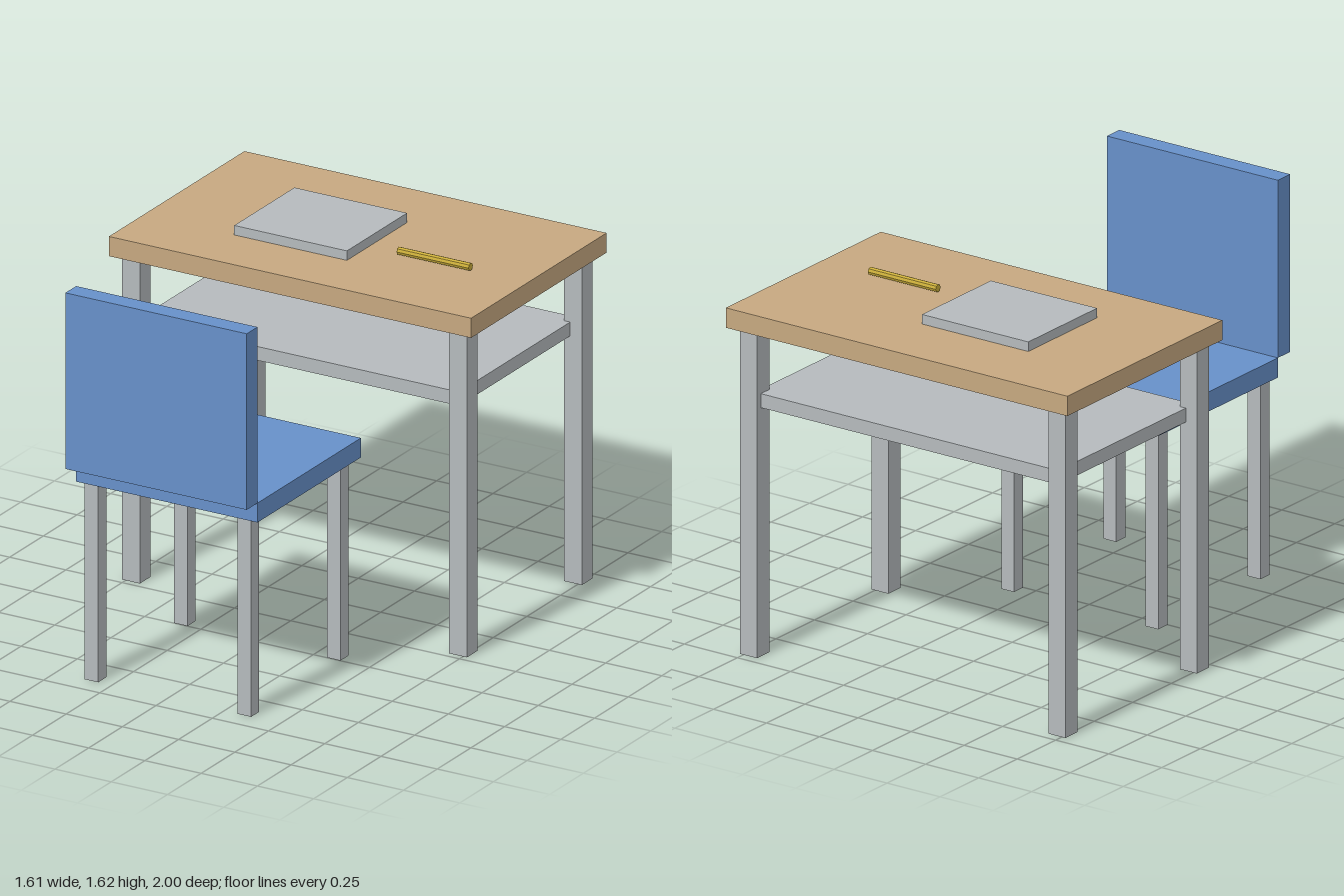
import * as THREE from 'three';

const wood = new THREE.MeshStandardMaterial({ name: 'wood', color: 0xc6a880 });
const grey = new THREE.MeshStandardMaterial({ name: 'grey', color: 0xb5babd });
const blue = new THREE.MeshStandardMaterial({ name: 'blue', color: 0x6790c9 });
const yellow = new THREE.MeshStandardMaterial({ name: 'pencilYellow', color: 0xc9ac3a });
yellow.flatShading = true;

// Box given by its minimum and maximum corners
function box(name, material, [x0, y0, z0], [x1, y1, z1]) {
  const mesh = new THREE.Mesh(new THREE.BoxGeometry(x1 - x0, y1 - y0, z1 - z0), material);
  mesh.position.set((x0 + x1) / 2, (y0 + y1) / 2, (z0 + z1) / 2);
  mesh.name = name;
  return mesh;
}

// Four square legs, mirrored in x, at two depths
function addLegs(group, name, x, depths, size, height) {
  const h = size / 2;
  for (const side of [-1, 1]) {
    for (const z of depths) {
      group.add(box(name, grey, [side * x - h, 0, z - h], [side * x + h, height, z + h]));
    }
  }
}

function createDesk() {
  const desk = new THREE.Group();
  desk.name = 'desk';
  desk.add(box('deskTop', wood, [-0.805, 1.335, -1], [0.805, 1.416, 0.006]));
  desk.add(box('deskShelf', grey, [-0.715, 1.015, -0.935], [0.715, 1.072, -0.055]));
  addLegs(desk, 'deskLeg', 0.727, [-0.067, -0.92], 0.08, 1.335);
  return desk;
}

function createChair() {
  const chair = new THREE.Group();
  chair.name = 'chair';
  chair.add(box('seat', blue, [-0.403, 0.81, 0.152], [0.403, 0.89, 0.92]));
  chair.add(box('backrest', blue, [-0.403, 0.89, 0.92], [0.403, 1.615, 1]));
  addLegs(chair, 'chairLeg', 0.34, [0.219, 0.882], 0.06, 0.81);
  return chair;
}

export function createModel() {
  const model = new THREE.Group();
  model.name = 'deskAndChair';
  model.add(createDesk(), createChair());

  // Items lying on the desk
  model.add(box('book', grey, [-0.403, 1.416, -0.7], [0.098, 1.455, -0.253]));
  const pencil = new THREE.Mesh(new THREE.CylinderGeometry(0.016, 0.016, 0.32, 8), yellow);
  pencil.name = 'pencil';
  pencil.rotation.z = Math.PI / 2;
  pencil.position.set(0.402, 1.436, -0.397);
  model.add(pencil);
  return model;
}
